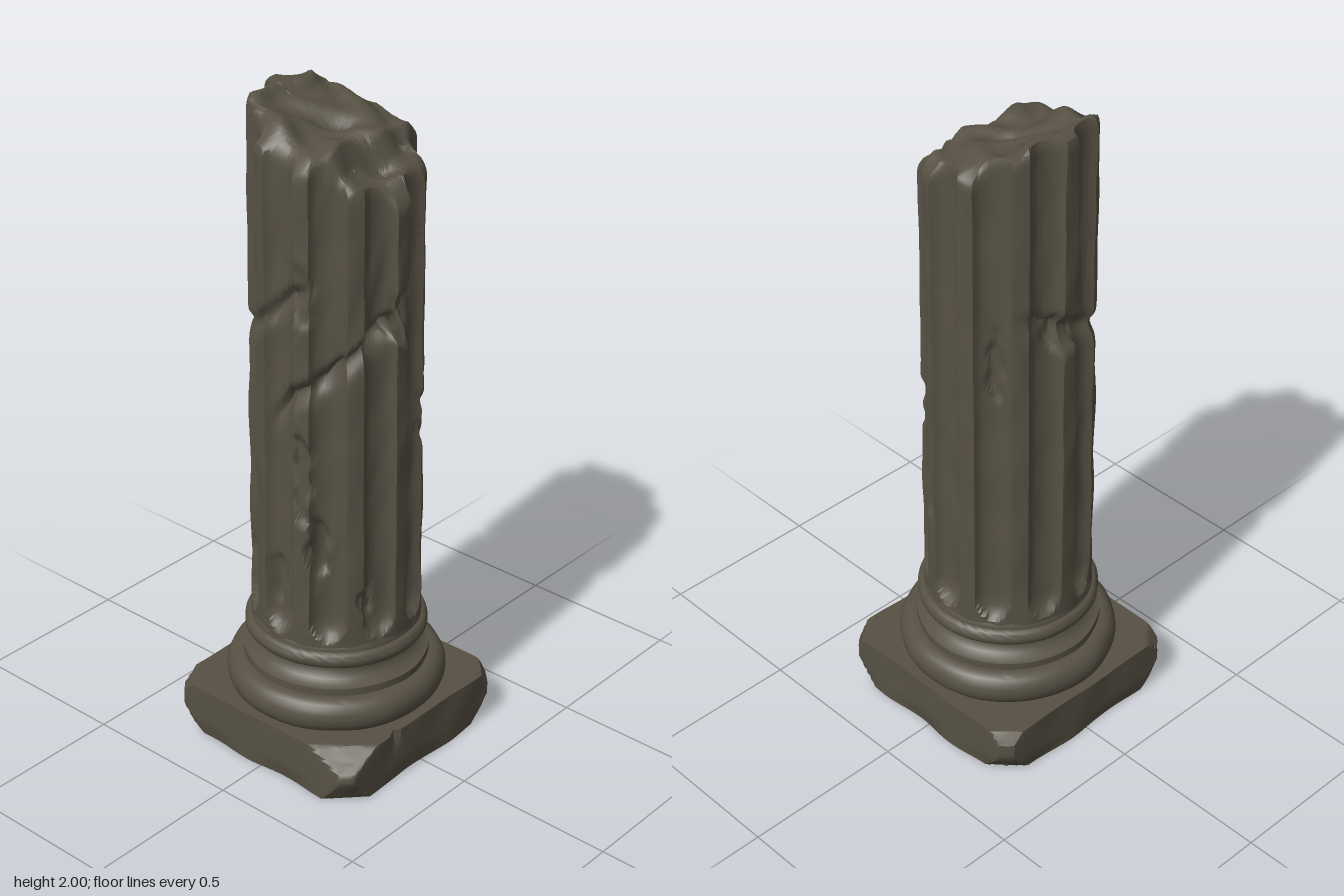
import * as THREE from 'three';
import { toCreasedNormals } from 'three/addons/utils/BufferGeometryUtils.js';

const { smoothstep, lerp, clamp } = THREE.MathUtils;
const FLUTES = 10, FOOT = 0.38;

// Piecewise linear lookup through [x, y] pairs
function sample(points, x) {
  if (x <= points[0][0]) return points[0][1];
  for (let i = 1; i < points.length; i++) {
    const [x0, y0] = points[i - 1], [x1, y1] = points[i];
    if (x <= x1) return lerp(y0, y1, (x - x0) / (x1 - x0));
  }
  return points[points.length - 1][1];
}

const bump = (d, width) => Math.exp(-(d * d) / (width * width));
const wrap = (a) => Math.atan2(Math.sin(a), Math.cos(a));

// Smooth repeatable unevenness, about -1 to 1
const rough = (x, y, z) =>
  (Math.sin(x * 23 + 3 * Math.sin(y * 9 + z * 7)) + Math.sin(z * 27 + 2.5 * Math.sin(x * 13 - y * 11) + 1) +
   Math.sin(y * 19 + 2 * Math.sin(z * 17 + x * 8))) / 3;

// Height of the slanting break
const slope = [[-0.25, 2.0], [-0.19, 1.995], [-0.15, 1.955], [-0.06, 1.935], [0.0, 1.91], [0.1, 1.895],
  [0.135, 1.835], [0.2, 1.815], [0.25, 1.765]];
function breakHeight(x, z) {
  const r = Math.hypot(x, z);
  const h = sample(slope, x + 0.012 * Math.sin(z * 30))
    + 0.014 * Math.sin(x * 34 + 2 * Math.sin(z * 19)) * Math.cos(z * 25 + x * 9)
    - 0.03 * bump(Math.hypot(x - 0.15, z), 0.045) - 0.025 * bump(Math.hypot(x + 0.01, z), 0.06)
    - 0.03 * smoothstep(Math.abs(z), 0.14, 0.24) - 0.018 * smoothstep(r, 0.2, 0.25);
  return Math.min(2, h + 0.012);
}

// Diagonal cracks as [angle, height] paths
const cracks = [
  { path: [[-0.25, 1.08], [0.1, 1.2], [0.6, 1.27], [1.1, 1.38], [1.6, 1.43], [2.0, 1.52]], depth: 0.026 },
  { path: [[-2.3, 1.5], [-1.8, 1.43], [-1.3, 1.38], [-0.8, 1.34], [-0.3, 1.41], [0.1, 1.5], [0.5, 1.54]], depth: 0.02 },
];
// Spalled patches: angle, height, angular width, half height, depth
const spalls = [
  [0.3, 0.95, 0.13, 0.16, 0.018], [0.5, 0.72, 0.14, 0.1, 0.02], [-0.75, 0.62, 0.12, 0.07, 0.015],
  [-1.57, 1.4, 0.3, 0.06, 0.02], [1.6, 1.42, 0.25, 0.07, 0.018], [2.2, 1.05, 0.12, 0.13, 0.012],
  [-2.5, 1.3, 0.12, 0.12, 0.014], [2.8, 0.8, 0.1, 0.1, 0.012], [1.1, 0.55, 0.13, 0.06, 0.015],
  [0.3, 1.5, 0.15, 0.1, 0.012], [-0.1, 0.6, 0.1, 0.08, 0.012],
];

function shaftRadius(a, y) {
  const pitch = (Math.PI * 2) / FLUTES;
  const u = (a - Math.round(a / pitch) * pitch) / (pitch * 0.34);
  const v = Math.max(0, (0.5 - y) / 0.07);
  let r = lerp(0.25, 0.243, smoothstep(y, 0.4, 1.9));
  r -= 0.034 * Math.sqrt(Math.max(0, 1 - u * u - v * v));
  r += 0.003 * rough(Math.sin(a) * 0.6, y, Math.cos(a) * 0.6);
  for (const { path, depth } of cracks) {
    const t = wrap(a);
    const ends = smoothstep(t, path[0][0], path[0][0] + 0.3) *
      (1 - smoothstep(t, path[path.length - 1][0] - 0.3, path[path.length - 1][0]));
    const d = y - sample(path, t);
    r -= depth * ends * bump(d, d > 0 ? 0.018 : 0.04);
  }
  for (const [ca, cy, wa, wy, depth] of spalls) {
    const d = Math.hypot(wrap(a - ca) / wa, (y - cy) / wy) + 0.2 * Math.sin(y * 60 + a * 15);
    r -= depth * (1 - smoothstep(d, 0.6, 1.15));
  }
  return r;
}

// Fluted wall rising to the break, continued inward as the broken face
function shaftGeometry() {
  const around = 200, rows = 110, rings = 24;
  const pos = [], index = [];
  for (let j = 0; j <= rows + rings; j++) {
    for (let i = 0; i < around; i++) {
      const a = (i / around) * Math.PI * 2;
      const edge = shaftRadius(a, 1.85);
      const top = breakHeight(edge * Math.sin(a), edge * Math.cos(a));
      let r, y;
      if (j <= rows) {
        y = lerp(FOOT, top, j / rows);
        r = shaftRadius(a, y) - 0.006 * smoothstep(y, top - 0.02, top);
      } else {
        r = (shaftRadius(a, top) - 0.006) * (1 - (j - rows) / rings);
        y = breakHeight(r * Math.sin(a), r * Math.cos(a));
      }
      pos.push(r * Math.sin(a), y, r * Math.cos(a));
    }
  }
  for (let j = 0; j < rows + rings; j++) {
    for (let i = 0; i < around; i++) {
      const n = (i + 1) % around;
      const p = j * around + i, q = j * around + n;
      index.push(p, q, q + around);
      if (j < rows + rings) index.push(p, q + around, p + around);
    }
  }
  const geo = new THREE.BufferGeometry();
  geo.setAttribute('position', new THREE.Float32BufferAttribute(pos, 3));
  geo.setIndex(index);
  return toCreasedNormals(geo, 0.7);
}

// Turned moulding, slightly worn
function turned(points) {
  const geo = new THREE.LatheGeometry(points.map(([r, y]) => new THREE.Vector2(r, y)), 96);
  const p = geo.attributes.position;
  for (let i = 0; i < p.count; i++) {
    const x = p.getX(i), y = p.getY(i), z = p.getZ(i);
    const s = 1 + 0.008 * rough(x, y, z);
    p.setXYZ(i, x * s, y, z * s);
  }
  return toCreasedNormals(geo, 0.6);
}

// Half-round profile between two heights
function roundProfile(r, bulge, y0, y1, steps = 10) {
  return Array.from({ length: steps + 1 }, (_, i) => {
    const t = (i / steps) * Math.PI;
    return [r + bulge * Math.sin(t), (y0 + y1) / 2 - ((y1 - y0) / 2) * Math.cos(t)];
  });
}

// Square block with chips cut by planes: direction and a point on the plane
function plinthGeometry() {
  const geo = new THREE.BoxGeometry(0.684, 0.165, 0.68, 40, 10, 40).translate(0, 0.0825, 0);
  const chips = [];
  const cut = (n, p) => {
    const dir = new THREE.Vector3(...n).normalize();
    chips.push([dir, dir.dot(new THREE.Vector3(...p))]);
  };
  for (const sx of [-1, 1]) for (const sz of [-1, 1]) {
    cut([sx, 0, sz], [sx * 0.31, 0, sz * 0.34]);
    cut([sx, -0.8, sz], [sx * 0.315, 0.05, sz * 0.31]);
  }
  cut([0.5, 1, 0.6], [0.29, 0.15, 0.28]);
  cut([-0.7, 0.9, 0.6], [-0.32, 0.14, 0.32]);
  cut([-0.8, 0.8, -0.7], [-0.32, 0.15, -0.31]);
  cut([0.8, 0.6, -0.7], [0.325, 0.14, -0.31]);
  const p = geo.attributes.position, v = new THREE.Vector3();
  for (let i = 0; i < p.count; i++) {
    v.fromBufferAttribute(p, i);
    for (const [n, d] of chips) {
      const over = v.dot(n) - d;
      if (over > 0) v.addScaledVector(n, -over);
    }
    // Uneven sides and scalloped lower edges
    const low = 1 - smoothstep(v.y, 0, 0.05);
    const wear = 0.003 * rough(v.x, v.y, v.z) - 0.01 * low * (0.5 + 0.5 * Math.sin(v.x * 21 + v.z * 17));
    if (Math.abs(v.x) > 0.3) v.x += Math.sign(v.x) * wear;
    if (Math.abs(v.z) > 0.3) v.z += Math.sign(v.z) * wear;
    // Small split in the left edge
    if (v.x > 0.3) v.x -= 0.02 * bump(v.z - 0.125, 0.012) * smoothstep(v.y, 0.08, 0.16);
    p.setXYZ(i, v.x, clamp(v.y, 0, 0.165), v.z);
  }
  return toCreasedNormals(geo, 0.5);
}

export function createModel() {
  const stone = new THREE.MeshStandardMaterial({ color: 0x575144 });
  stone.name = 'weathered stone';
  const group = new THREE.Group();
  group.name = 'brokenColumn';
  const add = (name, geo) => {
    const mesh = new THREE.Mesh(geo, stone);
    mesh.name = name;
    group.add(mesh);
  };

  add('plinth', plinthGeometry());
  add('lowerTorus', turned([[0.2, 0.16], ...roundProfile(0.285, 0.043, 0.155, 0.262), [0.2, 0.262]]));
  // Concave neck with a small fillet at its foot
  add('scotia', turned([[0.2, 0.258], [0.276, 0.258], [0.276, 0.285], [0.262, 0.288], [0.245, 0.3], [0.234, 0.315],
    [0.231, 0.33], [0.236, 0.345], [0.25, 0.352]]));
  add('upperTorus', turned([[0.2, 0.348], ...roundProfile(0.25, 0.022, 0.346, 0.398), [0.2, 0.4]]));
  add('collar', turned([[0.252, 0.39], [0.253, 0.405], [0.248, 0.415], [0.2, 0.418]]));
  add('flutedShaft', shaftGeometry());
  return group;
}
